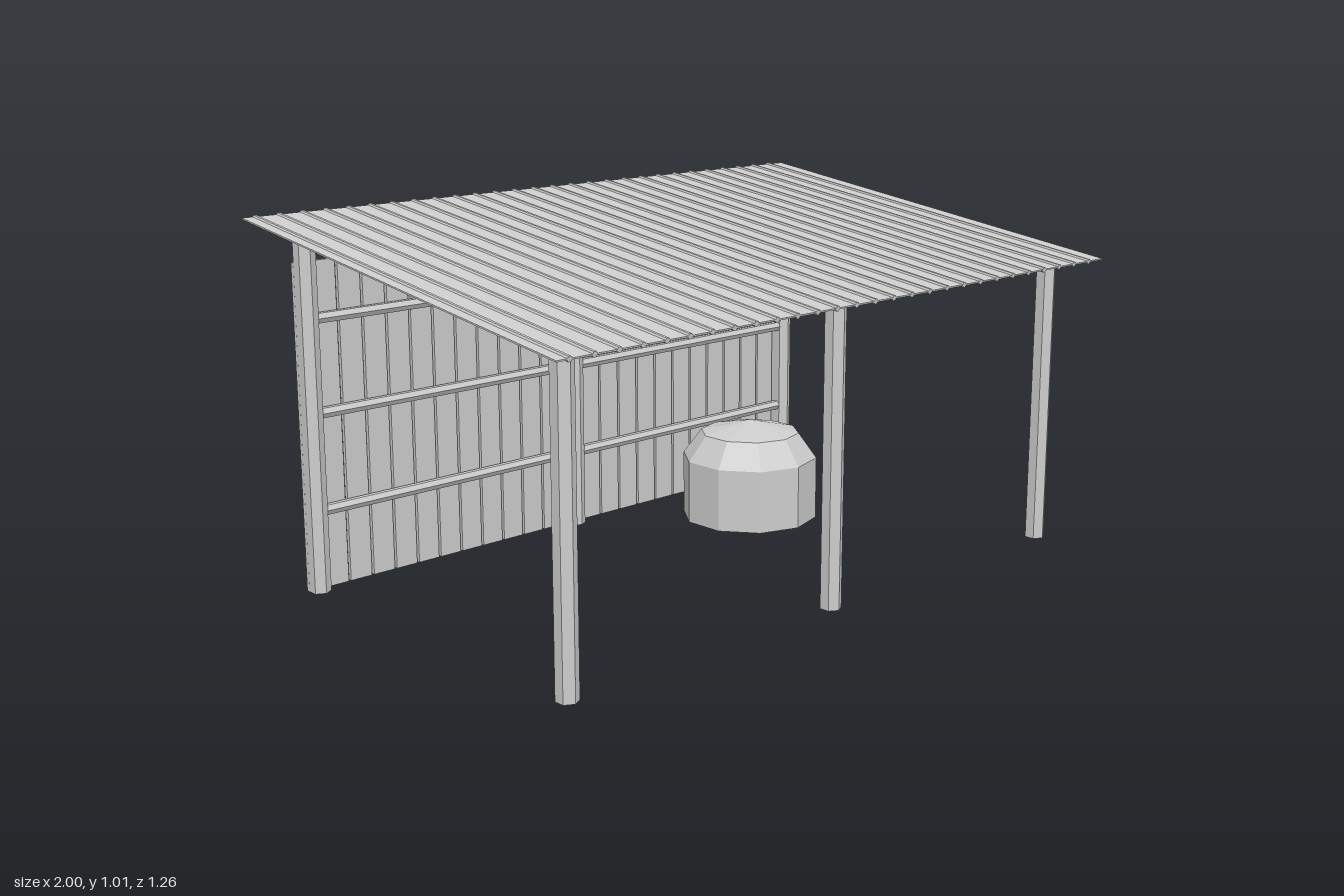
import * as THREE from 'three';

export function createModel() {
  const model = new THREE.Group();
  const grey = new THREE.MeshStandardMaterial({ color: 0xcccccc });
  grey.name = 'plain grey';
  grey.flatShading = true;

  function add(parent, name, geometry, x = 0, y = 0, z = 0) {
    const mesh = new THREE.Mesh(geometry, grey);
    mesh.name = name;
    mesh.position.set(x, y, z);
    parent.add(mesh);
    return mesh;
  }
  function group(name) {
    const g = new THREE.Group();
    g.name = name;
    model.add(g);
    return g;
  }

  // Hexagonal posts, short in front and tall behind
  const posts = group('posts');
  for (const x of [-0.892, 0, 0.892]) {
    for (const [name, z, h] of [['frontPost', 0.517, 0.815], ['backPost', -0.516, 0.965]]) {
      add(posts, name, new THREE.CylinderGeometry(0.029, 0.029, h, 6), x, h / 2, z);
    }
  }

  // Back wall: vertical boards with narrow gaps, end boards trimmed to the posts
  const wall = group('backWall');
  const pitch = 0.0752, boardWidth = 0.068, wallEnd = 0.917;
  for (let i = -12; i <= 12; i++) {
    const x0 = Math.max(-wallEnd, i * pitch - boardWidth / 2);
    const x1 = Math.min(wallEnd, i * pitch + boardWidth / 2);
    add(wall, 'wallBoard', new THREE.BoxGeometry(x1 - x0, 0.89, 0.011), (x0 + x1) / 2, 0.445, -0.5365);
  }

  // Horizontal rails between the back posts
  for (const y of [0.222, 0.487, 0.741]) {
    const rail = new THREE.CylinderGeometry(0.0155, 0.0155, 1.784, 6).rotateZ(Math.PI / 2);
    add(wall, 'wallRail', rail, 0, y, -0.5155);
  }

  // Sloping roof sheet with round ribs running down the slope
  const roof = group('roof');
  roof.position.y = 0.913;
  roof.rotation.x = Math.atan2(0.178, 1.26);
  const roofLength = Math.hypot(0.178, 1.26);
  add(roof, 'roofSheet', new THREE.BoxGeometry(2, 0.004, roofLength));
  const ribGeometry = new THREE.CylinderGeometry(0.0078, 0.0078, roofLength, 6, 1, false, Math.PI / 2)
    .rotateX(Math.PI / 2);
  for (let i = 0; i < 28; i++) add(roof, 'roofRib', ribGeometry, -0.963 + i * 0.0703);

  // Ten-sided barrel with a stepped conical top
  const profile = [[0, 0], [0.204, 0], [0.204, 0.187], [0.149, 0.262], [0, 0.297]]
    .map(([r, y]) => new THREE.Vector2(r, y));
  add(model, 'barrel', new THREE.LatheGeometry(profile, 10), 0.445, 0, -0.221);

  return model;
}
